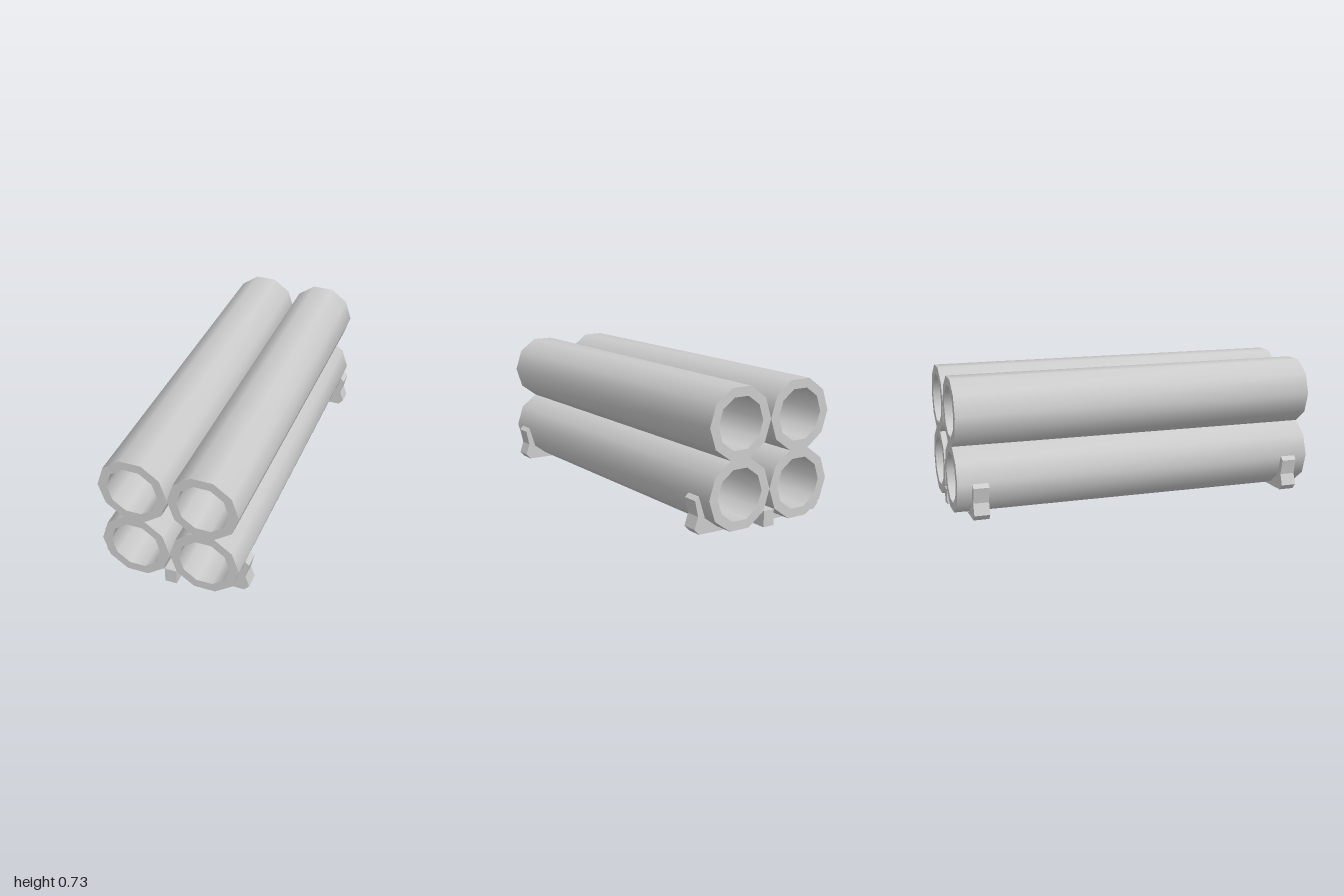
import * as THREE from 'three';
import { toCreasedNormals } from 'three/addons/utils/BufferGeometryUtils.js';

const material = new THREE.MeshStandardMaterial({ color: 0xcccccc });
const SIDES = 10, OUTER = 0.187, INNER = 0.137;

function ring(radius) {
  return Array.from({ length: SIDES }, (_, i) => {
    const a = (i / SIDES) * Math.PI * 2;
    return new THREE.Vector2(radius * Math.cos(a), radius * Math.sin(a));
  });
}

// Extrudes a shape along z, centred on z = 0
function extrude(shape, depth) {
  return new THREE.ExtrudeGeometry(shape, { depth, bevelEnabled: false }).translate(0, 0, -depth / 2);
}

function addMesh(group, name, geometry, x, y, z) {
  const mesh = new THREE.Mesh(geometry, material);
  mesh.name = name;
  mesh.position.set(x, y, z);
  group.add(mesh);
}

export function createModel() {
  const group = new THREE.Group();
  group.name = 'tubeRack';

  // Four hollow ten-sided tubes, smooth along their length
  const tubeShape = new THREE.Shape(ring(OUTER));
  tubeShape.holes.push(new THREE.Path(ring(INNER)));
  const tubeGeometry = toCreasedNormals(extrude(tubeShape, 2), 0.8);
  for (const [row, y] of [['lower', 0.195], ['upper', 0.55]]) {
    addMesh(group, row + 'LeftTube', tubeGeometry, OUTER, y, 0);
    addMesh(group, row + 'RightTube', tubeGeometry, -OUTER, y, 0);
  }

  // Central spine under the lower tubes
  addMesh(group, 'spine', new THREE.BoxGeometry(0.064, 0.085, 2), 0, 0.0425, 0);

  // Cradles: half profile mirrored about x = 0
  const half = [
    [0.065, 0], [0.375, 0.005], [0.402, 0.035], [0.381, 0.097], [0.4, 0.18], [0.378, 0.2],
    [0.34, 0.083], [0.245, 0.013], [0.128, 0.013], [0.032, 0.083],
  ];
  const mirrored = half.map(([x, y]) => [-x, y]).reverse();
  const cradleShape = new THREE.Shape([...half, ...mirrored].map(([x, y]) => new THREE.Vector2(x, y)));
  const cradleGeometry = extrude(cradleShape, 0.083);
  addMesh(group, 'frontCradle', cradleGeometry, 0, 0, 0.881);
  addMesh(group, 'backCradle', cradleGeometry, 0, 0, -0.881);

  return group;
}
